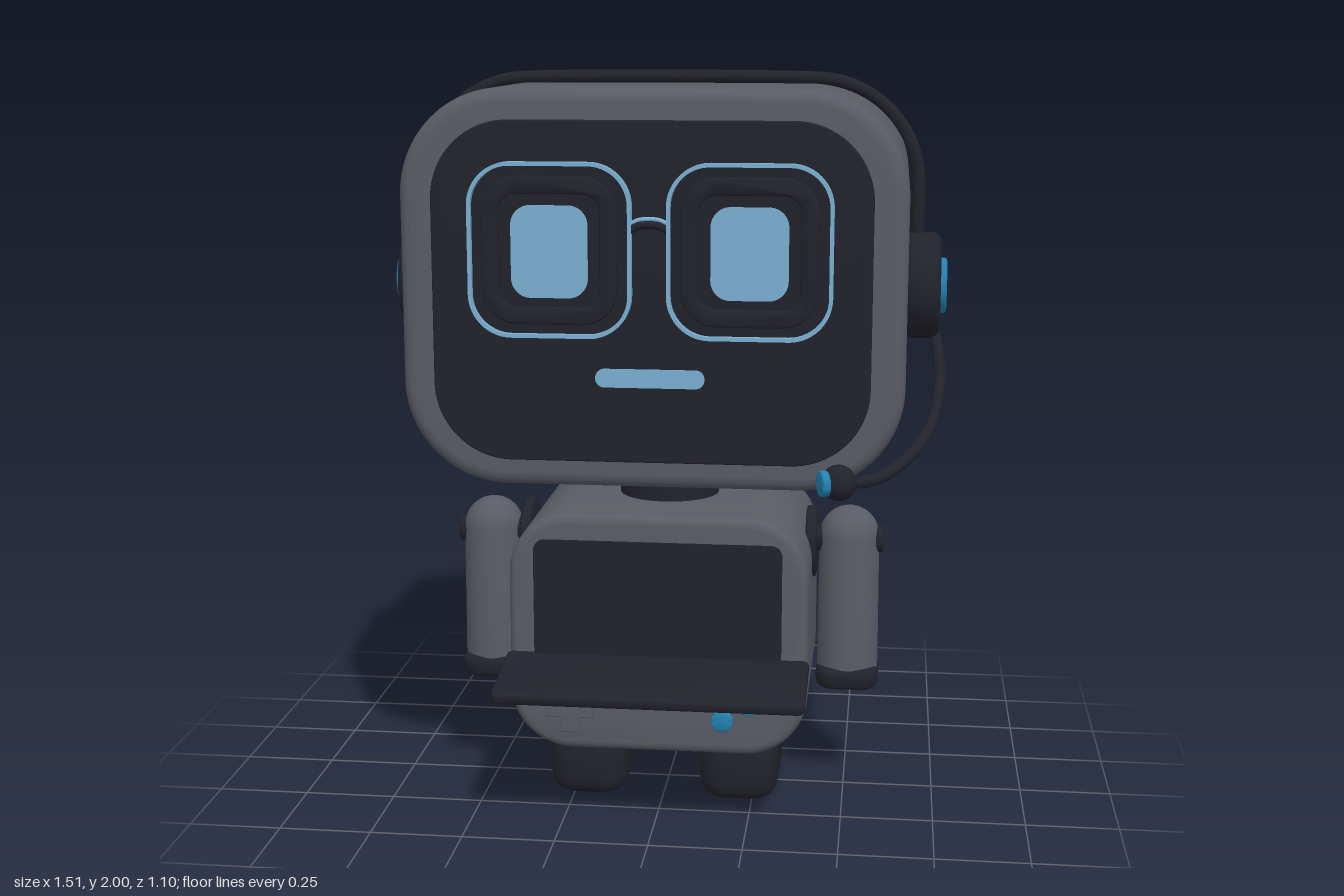
import * as THREE from 'three';
import { toCreasedNormals } from 'three/addons/utils/BufferGeometryUtils.js';

const mat = (name, color) => new THREE.MeshStandardMaterial({ name, color });
const V = (x, y, z) => new THREE.Vector3(x, y, z);

// Rounded rectangle outline centred on the origin
function roundRect(w, h, r, Type = THREE.Shape) {
  const s = new Type(), x = w / 2, y = h / 2;
  r = Math.max(0.001, Math.min(r, x - 0.0005, y - 0.0005));
  s.moveTo(-x + r, -y);
  s.lineTo(x - r, -y);
  s.absarc(x - r, -y + r, r, -Math.PI / 2, 0, false);
  s.lineTo(x, y - r);
  s.absarc(x - r, y - r, r, 0, Math.PI / 2, false);
  s.lineTo(-x + r, y);
  s.absarc(-x + r, y - r, r, Math.PI / 2, Math.PI, false);
  s.lineTo(-x, -y + r);
  s.absarc(-x + r, -y + r, r, Math.PI, Math.PI * 1.5, false);
  return s;
}

// Extrude from z = 0 to z = d with optional rounded edges of size b
function extrude(shape, d, b = 0) {
  const g = new THREE.ExtrudeGeometry(shape, {
    depth: d - 2 * b, bevelEnabled: b > 0, bevelSize: b, bevelThickness: b,
    bevelSegments: 4, curveSegments: 10,
  });
  return toCreasedNormals(g.translate(0, 0, b), 0.6);
}
const slab = (w, h, r, d, b = 0) => extrude(roundRect(w - 2 * b, h - 2 * b, r - b), d, b);

// Rectangular rim with an open middle, t wide
function rim(w, h, r, t, d, b = 0) {
  const s = roundRect(w - 2 * b, h - 2 * b, r - b);
  s.holes.push(roundRect(w - 2 * t + 2 * b, h - 2 * t + 2 * b, r - t + b, THREE.Path));
  return extrude(s, d, b);
}

const tube = (pts, r, n = 48) =>
  new THREE.TubeGeometry(new THREE.CatmullRomCurve3(pts, false, 'centripetal'), n, r, 10);

// Disc with rounded rims, its axis along x
function discX(r, t, b = 0.012) {
  const p = [[0, -t / 2], [r - b, -t / 2], [r - b * 0.3, -t / 2 + b * 0.3], [r, -t / 2 + b],
    [r, t / 2 - b], [r - b * 0.3, t / 2 - b * 0.3], [r - b, t / 2], [0, t / 2]];
  const g = new THREE.LatheGeometry(p.map(q => new THREE.Vector2(...q)), 36);
  return toCreasedNormals(g.rotateZ(-Math.PI / 2), 0.8);
}

export function createModel() {
  const grey = mat('shell grey', 0x5a5c65);
  const dark = mat('dark trim', 0x22222c);
  const blue = mat('accent blue', 0x2380b0);
  const light = mat('glow blue', 0x7ab0d2);
  const model = new THREE.Group();
  const group = name => {
    const g = new THREE.Group();
    g.name = name;
    model.add(g);
    return g;
  };
  const add = (parent, name, geo, m, x = 0, y = 0, z = 0) => {
    const mesh = new THREE.Mesh(geo, m);
    mesh.name = name;
    mesh.position.set(x, y, z);
    parent.add(mesh);
    return mesh;
  };

  // Head and face
  const head = group('head');
  add(head, 'headShell', slab(1.294, 1.02, 0.27, 0.905, 0.035), grey, 0, 1.458, -0.483);
  add(head, 'facePanel', slab(1.12, 0.87, 0.2, 0.02, 0.004), dark, 0, 1.455, 0.413);
  add(head, 'mouth', slab(0.28, 0.048, 0.024, 0.008), light, 0, 1.24, 0.43);
  for (const s of [-1, 1]) {
    const x = s * 0.253, y = 1.565;
    add(head, 'glassesOutline', rim(0.418, 0.444, 0.11, 0.01, 0.03), light, x, y, 0.426);
    add(head, 'glassesBase', slab(0.396, 0.422, 0.1, 0.02), dark, x, y, 0.425);
    add(head, 'glassesFrame', rim(0.346, 0.375, 0.09, 0.045, 0.018, 0.006), dark, x, y, 0.44);
    add(head, 'eye', slab(0.196, 0.234, 0.05, 0.006), light, x, y - 0.003, 0.444);
  }
  const bridge = y => [V(-0.05, y, 0.442), V(-0.025, y + 0.012, 0.442), V(0.025, y + 0.012, 0.442), V(0.05, y, 0.442)];
  add(head, 'bridgeOutline', tube(bridge(1.632), 0.006, 16), light);
  add(head, 'bridge', tube(bridge(1.618), 0.011, 16), dark);

  // Headset band, ear cups and microphone
  const headset = group('headset');
  const zc = -0.028, bandPts = [V(-0.672, 1.5, zc), V(-0.672, 1.6, zc)];
  for (const s of [-1, 1]) {
    for (let i = 0; i <= 8; i++) {
      const a = (s < 0 ? i : 8 - i) * Math.PI / 16;
      bandPts.push(V(s * (0.392 + 0.28 * Math.cos(a)), 1.702 + 0.28 * Math.sin(a), zc));
    }
  }
  bandPts.push(V(0.672, 1.6, zc), V(0.672, 1.5, zc));
  add(headset, 'headband', tube(bandPts, 0.018, 100), dark);
  for (const s of [-1, 1]) {
    add(headset, 'earCup', discX(0.144, 0.095, 0.02), dark, s * 0.688, 1.43, zc);
    add(headset, 'earCap', discX(0.075, 0.05, 0.006), blue, s * 0.728, 1.43, zc);
  }
  add(headset, 'micArm', tube([V(0.715, 1.33, -0.02), V(0.732, 1.27, 0.03), V(0.738, 1.18, 0.11),
    V(0.715, 1.09, 0.22), V(0.65, 1.025, 0.35), V(0.57, 0.995, 0.45), V(0.485, 0.995, 0.5)], 0.016), dark);
  add(headset, 'micBall', new THREE.SphereGeometry(0.046, 24, 16), dark, 0.485, 0.997, 0.5);
  const tip = add(headset, 'micTip', discX(0.033, 0.024, 0.004), blue, 0.449, 0.997, 0.514);
  tip.rotation.y = 0.35;

  // Vented pack on the back of the head, with cables to the body
  const pack = group('headPack');
  add(pack, 'packPlate', slab(0.29, 0.255, 0.03, 0.06, 0.015), dark, 0, 1.457, -0.535);
  for (let i = 0; i < 7; i++)
    add(pack, 'packRib', slab(0.22, 0.014, 0.006, 0.014), dark, 0, 1.367 + i * 0.03, -0.548);
  for (const s of [-1, 1]) {
    add(pack, 'cablePlug', new THREE.CylinderGeometry(0.025, 0.025, 0.05, 16), dark, s * 0.068, 1.322, -0.515);
    add(pack, 'cable', tube([V(s * 0.068, 1.33, -0.515), V(s * 0.068, 1.18, -0.518), V(s * 0.075, 1.05, -0.512),
      V(s * 0.105, 0.96, -0.483), V(s * 0.15, 0.895, -0.43), V(s * 0.19, 0.865, -0.36),
      V(s * 0.215, 0.85, -0.28)], 0.016), dark);
    add(pack, 'cableSocket', new THREE.CylinderGeometry(0.032, 0.032, 0.03, 16), dark, s * 0.215, 0.84, -0.275);
  }

  // Neck and body
  const body = group('body');
  add(body, 'neck', new THREE.CylinderGeometry(0.138, 0.138, 0.15, 36), dark, 0, 0.895, -0.024);
  add(body, 'bodyShell', slab(0.81, 0.663, 0.17, 0.614, 0.025), grey, 0, 0.509, -0.328);
  add(body, 'screen', slab(0.67, 0.36, 0.03, 0.01), dark, 0, 0.59, 0.283);
  const tray = add(body, 'keyboardTray', slab(0.82, 0.26, 0.02, 0.03, 0.008).rotateX(-Math.PI / 2),
    dark, 0, 0.405, 0.402);
  tray.rotation.x = 0.155;

  // Direction pad and buttons
  const a = 0.063, b = 0.022;
  const cross = new THREE.Shape([[-b, -a], [b, -a], [b, -b], [a, -b], [a, b], [b, b],
    [b, a], [-b, a], [-b, b], [-a, b], [-a, -b], [-b, -b]].map(p => new THREE.Vector2(...p)));
  add(body, 'directionPad', extrude(cross, 0.02, 0.003), grey, -0.24, 0.298, 0.28);
  for (const [x, y] of [[0.177, 0.278], [0.247, 0.326]])
    add(body, 'button', discX(0.03, 0.03, 0.005).rotateY(-Math.PI / 2), blue, x, y, 0.29);

  // Rear panels: charge gauge, vent plate and slot
  const rear = group('rearPanels');
  rear.position.set(0, 0, -0.325);
  rear.rotation.y = Math.PI;
  add(rear, 'gaugePlate', slab(0.27, 0.135, 0.02, 0.02, 0.005), dark, 0, 0.7, 0);
  for (let i = 0; i < 4; i++)
    add(rear, 'gaugeCell', slab(0.034, 0.075, 0.006, 0.008), light, (i - 1.5) * 0.047, 0.7, 0.017);
  add(rear, 'ventPlate', slab(0.38, 0.215, 0.015, 0.016, 0.004), dark, 0, 0.463, 0);
  for (let i = 0; i < 4; i++)
    add(rear, 'ventRib', slab(0.23, 0.016, 0.006, 0.012), dark, 0, 0.406 + i * 0.038, 0.012);
  for (const x of [-0.165, 0.165])
    for (const y of [0.38, 0.546])
      add(rear, 'screw', discX(0.011, 0.008, 0.002).rotateY(-Math.PI / 2), grey, x, y, 0.017);
  add(rear, 'slot', slab(0.16, 0.048, 0.01, 0.016, 0.004), dark, 0, 0.276, 0);

  // Arms and feet
  for (const s of [-1, 1]) {
    const arm = group(s > 0 ? 'leftArm' : 'rightArm');
    const ax = s * 0.505;
    const profile = [new THREE.Vector2(0, 0.33), new THREE.Vector2(0.085, 0.33)];
    for (let i = 0; i <= 8; i++) {
      const t = i * Math.PI / 16;
      profile.push(new THREE.Vector2(0.083 * Math.cos(t), 0.727 + 0.083 * Math.sin(t)));
    }
    add(arm, 'armShell', toCreasedNormals(new THREE.LatheGeometry(profile, 32), 0.8), grey, ax, 0, -0.024);
    add(arm, 'hand', slab(0.174, 0.186, 0.055, 0.06, 0.02).rotateX(-Math.PI / 2), dark, ax, 0.297, -0.024);
    add(arm, 'shoulderDisc', discX(0.1, 0.03, 0.008), dark, s * 0.4, 0.705, -0.024);
    add(arm, 'shoulderAxle', discX(0.038, 0.2, 0.006), dark, s * 0.5, 0.717, -0.024);
    add(group(s > 0 ? 'leftFoot' : 'rightFoot'), 'foot',
      slab(0.218, 0.345, 0.075, 0.19, 0.05).rotateX(-Math.PI / 2), dark, s * 0.211, 0, 0.018);
  }
  return model;
}
